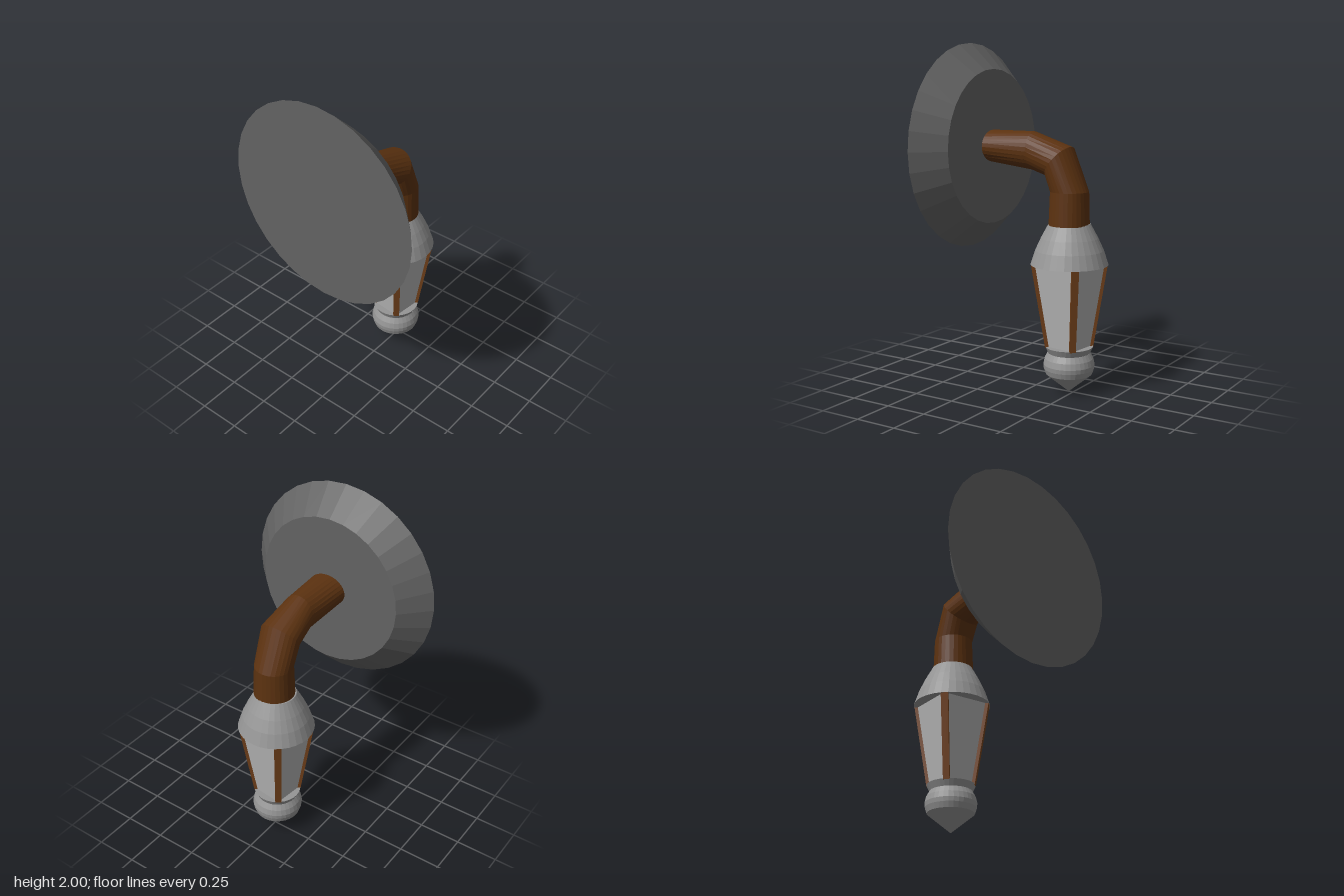
import * as THREE from 'three';

const LAMP_X = 0.222;
const SIDES = 32;

const material = (name, color) => {
  const m = new THREE.MeshStandardMaterial({ color });
  m.name = name;
  return m;
};

// One normal per face, for the faceted look
function faceted(geometry) {
  const g = geometry.index ? geometry.toNonIndexed() : geometry;
  g.computeVertexNormals();
  return g;
}

function addPart(parent, name, geometry, mat) {
  const mesh = new THREE.Mesh(faceted(geometry), mat);
  mesh.name = name;
  parent.add(mesh);
  return mesh;
}

// Profile of [radius, height] pairs, from bottom to top
function turned(profile) {
  return new THREE.LatheGeometry(profile.map(([r, y]) => new THREE.Vector2(r, y)), SIDES);
}

// Upright slab whose outer face leans from radius r0 at y0 to r1 at y1
function leaningSlab(y0, y1, w0, w1, r0, r1, depth) {
  const g = new THREE.BoxGeometry(1, 1, 1);
  const p = g.attributes.position;
  for (let i = 0; i < p.count; i++) {
    const top = p.getY(i) > 0;
    const outer = p.getZ(i) > 0;
    p.setXYZ(i, p.getX(i) * (top ? w1 : w0), top ? y1 : y0, (top ? r1 : r0) - (outer ? 0 : depth));
  }
  return g;
}

// Bent tube: each ring is [outer x, outer y, inner x, inner y, half width in z]
function bentTube(rings) {
  const positions = [];
  const index = [];
  const n = 28;
  rings.forEach(([ox, oy, ix, iy, w], r) => {
    for (let j = 0; j < n; j++) {
      const a = (j / n) * Math.PI * 2;
      const t = (1 + Math.cos(a)) / 2;
      positions.push(ix + (ox - ix) * t, iy + (oy - iy) * t, 0.008 + Math.sin(a) * w);
      if (r < rings.length - 1) {
        const a0 = r * n + j;
        const b0 = r * n + ((j + 1) % n);
        index.push(a0, b0, a0 + n, b0, b0 + n, a0 + n);
      }
    }
  });
  const g = new THREE.BufferGeometry();
  g.setAttribute('position', new THREE.Float32BufferAttribute(positions, 3));
  g.setIndex(index);
  return g;
}

export function createModel() {
  const model = new THREE.Group();
  model.name = 'wallLantern';
  const darkMetal = material('dark metal', 0x636363);
  const metal = material('grey metal', 0x959595);
  const glass = material('pale glass', 0xb4b4b4);
  const wood = material('dark wood', 0x5c3210);
  const barWood = material('bar wood', 0x74421b);

  // Round bevelled wall plate
  const plate = addPart(model, 'wallPlate', new THREE.CylinderGeometry(0.45, 0.6, 0.16, SIDES), darkMetal);
  plate.rotation.z = -Math.PI / 2;
  plate.position.set(-0.37, 1.4, 0);

  // Curved arm from the plate down to the lantern
  addPart(model, 'arm', bentTube([
    [-0.3, 1.5, -0.3, 1.315, 0.12],
    [-0.01, 1.5, -0.01, 1.28, 0.099],
    [0.23, 1.42, 0.09, 1.25, 0.12],
    [0.335, 1.17, 0.115, 1.17, 0.112],
    [0.34, 0.98, 0.107, 0.98, 0.118],
  ]), wood);

  const lantern = new THREE.Group();
  lantern.name = 'lantern';
  lantern.position.x = LAMP_X;
  model.add(lantern);

  // Flared cap with a closed underside
  addPart(lantern, 'cap', turned([
    [0, 0.753], [0.222, 0.753], [0.195, 0.835], [0.163, 0.905], [0.118, 0.988], [0, 0.988],
  ]), metal);

  // Four glass panes with a bar at each corner
  const cage = new THREE.Group();
  cage.name = 'cage';
  cage.rotation.y = THREE.MathUtils.degToRad(-6.4);
  lantern.add(cage);
  for (let i = 0; i < 4; i++) {
    const angle = (i * Math.PI) / 2;
    addPart(cage, 'pane', leaningSlab(0.27, 0.755, 0.165, 0.267, 0.097, 0.156, 0.03), glass).rotation.y = angle;
    addPart(cage, 'cornerBar', leaningSlab(0.27, 0.755, 0.036, 0.042, 0.138, 0.219, 0.05), barWood)
      .rotation.y = angle + Math.PI / 4;
  }

  // Collar and pointed knob below the panes
  addPart(lantern, 'collar', turned([[0.12, 0.235], [0.139, 0.275], [0, 0.275]]), metal);
  addPart(lantern, 'knob', turned([
    [0, 0.003], [0.134, 0.113], [0.145, 0.145], [0.148, 0.17], [0.14, 0.205], [0.122, 0.238], [0, 0.238],
  ]), metal);

  return model;
}
